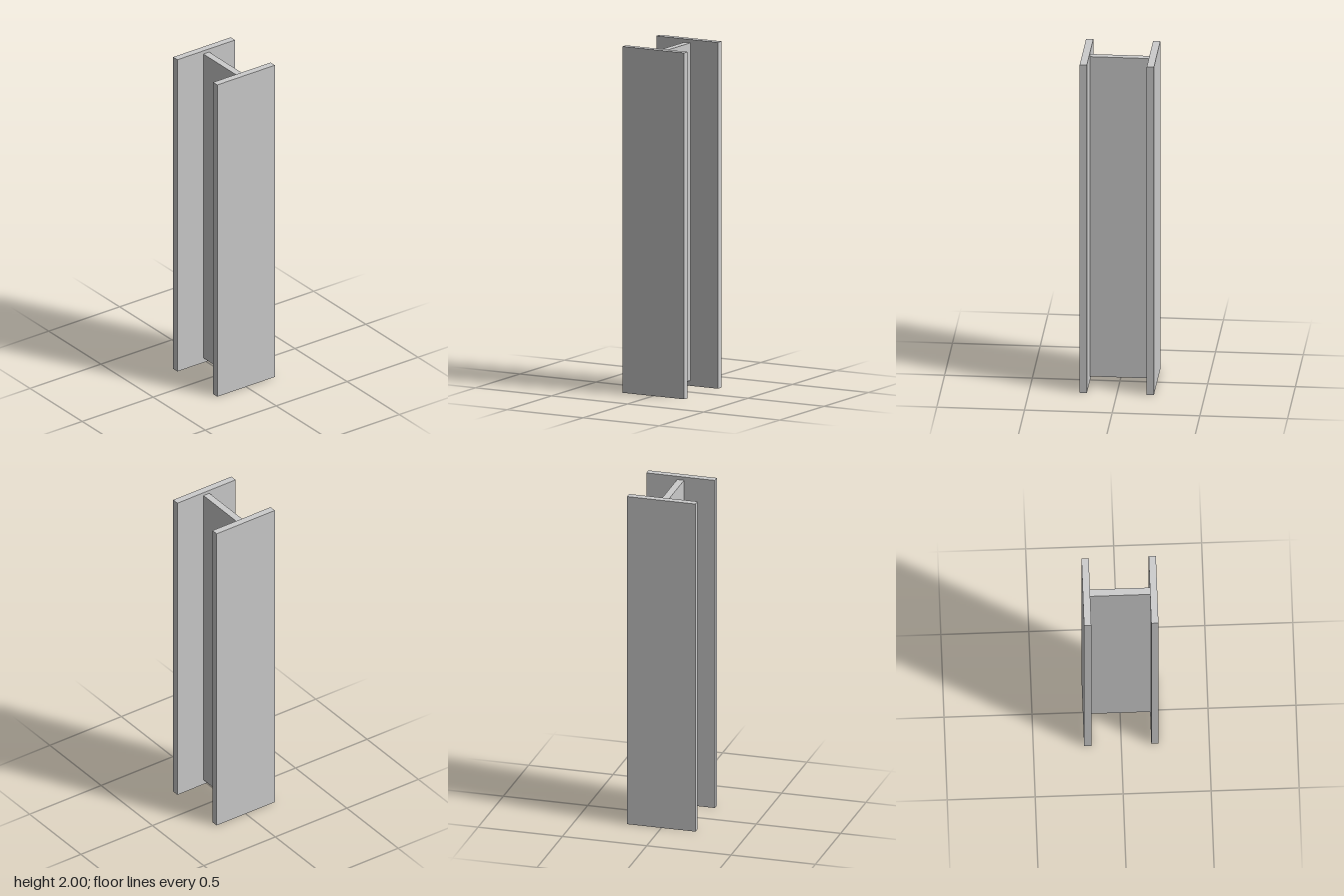
import * as THREE from 'three';

export function createModel() {
  const model = new THREE.Group();
  model.name = 'iBeam';
  const steel = new THREE.MeshStandardMaterial({ color: 0xcccccc });

  const addPlate = (name, size, position) => {
    const plate = new THREE.Mesh(new THREE.BoxGeometry(...size), steel);
    plate.name = name;
    plate.position.set(...position);
    model.add(plate);
  };

  // Two full-height flanges, front and back
  const thickness = 0.041;
  for (const [name, side] of [['frontFlange', 1], ['backFlange', -1]]) {
    addPlate(name, [0.406, 2, thickness], [0, 1, side * 0.191]);
  }

  // Web between the flanges, slightly recessed at both ends
  const bottom = 0.03, top = 1.98;
  addPlate('web', [thickness, top - bottom, 0.341], [0, (top + bottom) / 2, 0]);

  return model;
}
